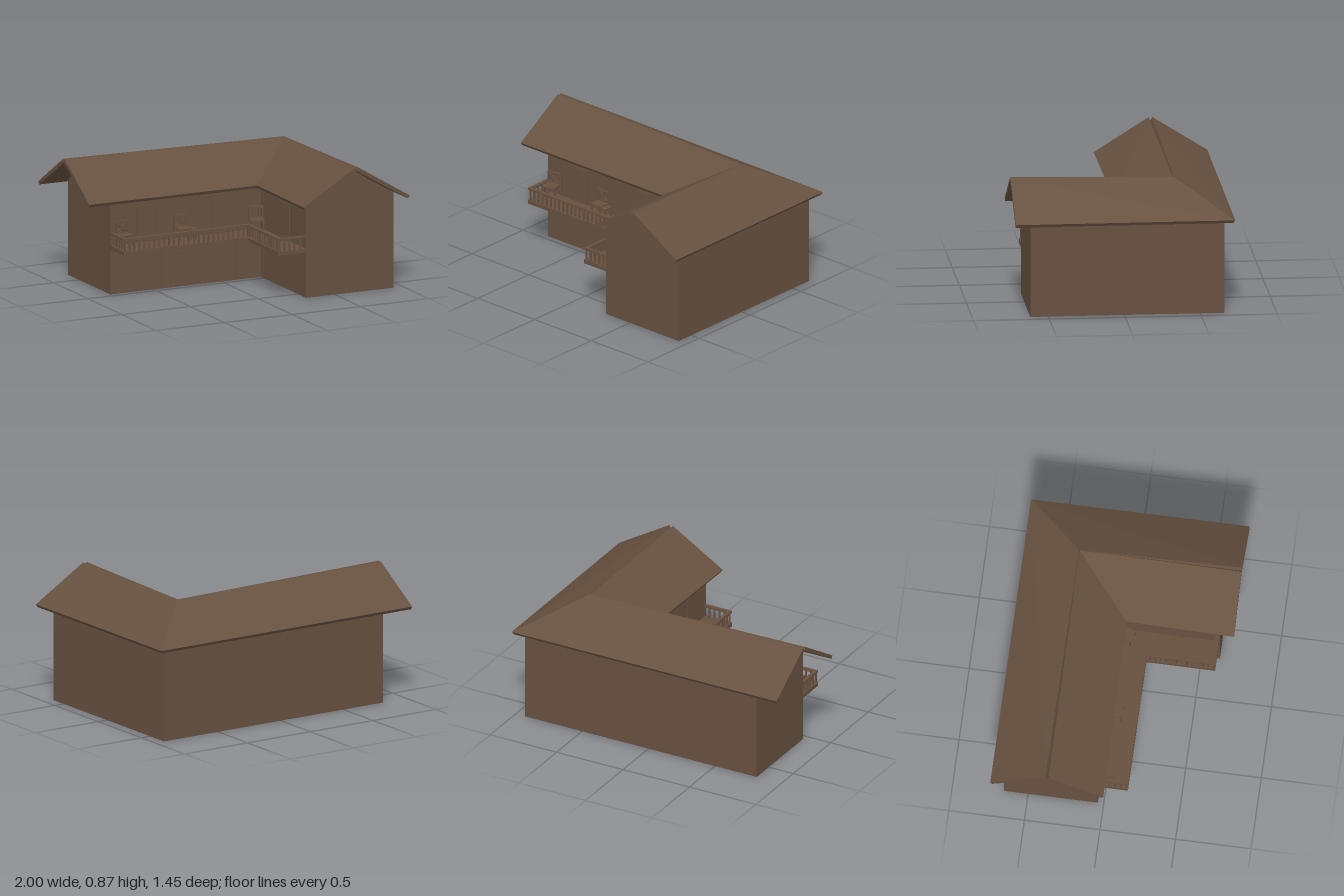
import * as THREE from 'three';

const timber = new THREE.MeshStandardMaterial({ color: 0x675140 });
timber.name = 'brown timber';

const V = (x, y, z) => new THREE.Vector3(x, y, z);

function add(parent, name, geometry) {
  const mesh = new THREE.Mesh(geometry, timber);
  mesh.name = name;
  parent.add(mesh);
  return mesh;
}

// Box given by its minimum and maximum corners
function box(parent, name, x0, x1, y0, y1, z0, z1) {
  const mesh = add(parent, name, new THREE.BoxGeometry(x1 - x0, y1 - y0, z1 - z0));
  mesh.position.set((x0 + x1) / 2, (y0 + y1) / 2, (z0 + z1) / 2);
  return mesh;
}

// Square bar between two points
function bar(parent, name, a, b, thick) {
  const mesh = add(parent, name, new THREE.BoxGeometry(thick, thick, a.distanceTo(b)));
  mesh.position.copy(a).lerp(b, 0.5);
  mesh.lookAt(b);
  return mesh;
}

// Solid between two matching cross-sections, outward faces chosen automatically
function loft(a, b) {
  const n = a.length, tris = [];
  for (let i = 0; i < n; i++) {
    const j = (i + 1) % n;
    tris.push([a[i], b[i], b[j]], [a[i], b[j], a[j]]);
    if (i > 0 && i < n - 1) tris.push([a[0], a[i], a[i + 1]], [b[0], b[i + 1], b[i]]);
  }
  let volume = 0;
  for (const [p, q, r] of tris) volume += p.clone().sub(a[0]).dot(q.clone().sub(a[0]).cross(r.clone().sub(a[0])));
  const points = tris.flatMap(t => (volume < 0 ? [t[0], t[2], t[1]] : t));
  const g = new THREE.BufferGeometry().setFromPoints(points);
  g.computeVertexNormals();
  return g;
}

// Flat outline in x and z raised between two heights
function raised(outline, y0, y1) {
  const shape = new THREE.Shape(outline.map(([x, z]) => new THREE.Vector2(x, -z)));
  const g = new THREE.ExtrudeGeometry(shape, { depth: y1 - y0, bevelEnabled: false });
  return g.rotateX(-Math.PI / 2).translate(0, y0, 0);
}

const RX = 0.61, RZ = -0.352;                 // ridge lines of the two wings
const WALL = -0.04, SIDE = 0.29;              // courtyard wall faces

function buildWalls(house) {
  add(house, 'walls', raised([[-0.815, -0.66], [-0.815, WALL], [SIDE, WALL], [SIDE, 0.62], [0.93, 0.62], [0.93, -0.66]], 0, 0.645));
  const wing = z => [V(SIDE, 0.644, z), V(0.93, 0.644, z), V(RX, 0.838, z)];
  const main = x => [V(x, 0.644, -0.66), V(x, 0.644, WALL), V(x, 0.838, RZ)];
  add(house, 'wingGable', loft(wing(RZ), wing(0.62)));
  add(house, 'mainGable', loft(main(-0.815), main(RX)));
}

// Four mitred slabs, their square-cut tops leaving a groove along each ridge
function buildRoof(house) {
  const roof = new THREE.Group();
  roof.name = 'roof';
  house.add(roof);
  for (const side of [1, -1]) {
    const outer = side > 0;
    // [offset from ridge, height]: ridge bottom, ridge top, eave top, eave bottom
    const gable = [[0, 0.842], [0.013, 0.865], [0.387, 0.637], [0.374, 0.617]];
    const mitre = [[0, 0.824], [0.002, 0.847], [outer ? 0.385 : 0.375, outer ? 0.637 : 0.632], [outer ? 0.372 : 0.364, outer ? 0.617 : 0.612]];
    const k = 0.967;                          // main wing is slightly narrower
    const corner = mitre.map(([u, y]) => V(RX + side * u, y, RZ - side * u * k));
    add(roof, outer ? 'wingOuterSlope' : 'wingInnerSlope', loft(gable.map(([u, y]) => V(RX + side * u * 1.005, y, 0.722)), corner));
    add(roof, outer ? 'mainBackSlope' : 'mainFrontSlope', loft(gable.map(([u, y]) => V(-1, y, RZ - side * u * k)), corner));
  }
}

// Thin framed door; local z is the outward direction
function door(parent, x, y, z, turn, h) {
  const g = new THREE.Group();
  g.name = 'door';
  box(g, 'doorPanel', -0.068, 0.068, 0.012, h - 0.012, 0, 0.003);
  for (const s of [-1, 1]) box(g, 'doorJamb', s * 0.075 - 0.007, s * 0.075 + 0.007, 0, h, 0, 0.006);
  box(g, 'doorHead', -0.068, 0.068, h - 0.012, h, 0, 0.006);
  box(g, 'doorSill', -0.068, 0.068, 0, 0.012, 0, 0.006);
  g.position.set(x, y, z);
  g.rotation.y = turn;
  parent.add(g);
}

function buildBalcony(house) {
  const g = new THREE.Group();
  g.name = 'balcony';
  house.add(g);
  add(g, 'balconyFloor', raised([[-0.815, WALL], [-0.815, 0.16], [0.09, 0.16], [0.09, 0.615], [SIDE, 0.615], [SIDE, WALL]], 0.303, 0.33));
  // Handrail and balusters follow the open edge
  const path = [[-0.803, WALL], [-0.803, 0.148], [0.102, 0.148], [0.102, 0.603], [SIDE, 0.603]];
  for (let i = 0; i < path.length - 1; i++) {
    const [x0, z0] = path[i], [x1, z1] = path[i + 1];
    const w = 0.012;
    box(g, 'handrail', Math.min(x0, x1) - w, Math.min(Math.max(x0, x1) + w, SIDE), 0.402, 0.416,
      Math.max(Math.min(z0, z1) - w, WALL), Math.max(z0, z1) + w);
    const n = Math.round(Math.hypot(x1 - x0, z1 - z0) / 0.036);
    for (let j = i ? 0 : 1; j < n; j++) {
      const x = x0 + (x1 - x0) * j / n, z = z0 + (z1 - z0) * j / n;
      box(g, 'baluster', x - 0.005, x + 0.005, 0.33, 0.403, z - 0.005, z + 0.005);
    }
  }
}

// Chair with a crossed back, standing against the wall
function chair(parent, x, z, turn) {
  const g = new THREE.Group();
  g.name = 'chair';
  box(g, 'seat', -0.045, 0.045, 0.07, 0.08, -0.035, 0.045);
  for (const s of [-1, 1]) {
    box(g, 'backLeg', s * 0.045 - 0.005, s * 0.045 + 0.005, 0, 0.16, -0.04, -0.03);
    box(g, 'frontLeg', s * 0.04 - 0.005, s * 0.04 + 0.005, 0, 0.07, 0.033, 0.043);
    bar(g, 'backCross', V(-0.045, 0.08 + (s + 1) * 0.036, -0.035), V(0.045, 0.152 - (s + 1) * 0.036, -0.035), 0.008);
  }
  box(g, 'backTop', -0.05, 0.05, 0.15, 0.16, -0.041, -0.029);
  box(g, 'backBottom', -0.045, 0.045, 0.08, 0.09, -0.04, -0.03);
  box(g, 'backSlat', -0.005, 0.005, 0.09, 0.15, -0.039, -0.031);
  g.position.set(x, 0.33, z);
  g.rotation.y = turn;
  parent.add(g);
}

function stool(parent, x, z) {
  const g = new THREE.Group();
  g.name = 'stool';
  box(g, 'stoolTop', -0.035, 0.035, 0.062, 0.072, -0.035, 0.035);
  for (const sx of [-1, 1]) for (const sz of [-1, 1])
    box(g, 'stoolLeg', sx * 0.028 - 0.005, sx * 0.028 + 0.005, 0, 0.062, sz * 0.028 - 0.005, sz * 0.028 + 0.005);
  g.position.set(x, 0.33, z);
  parent.add(g);
}

export function createModel() {
  const house = new THREE.Group();
  house.name = 'house';
  buildWalls(house);
  buildRoof(house);
  for (const x of [-0.36, 0.19]) door(house, x, 0.012, WALL, 0, 0.23);
  for (const x of [-0.545, 0.01]) door(house, x, 0.33, WALL, 0, 0.245);
  door(house, SIDE, 0.33, 0.3, -Math.PI / 2, 0.245);
  buildBalcony(house);
  chair(house, -0.735, 0.012, 0.25);
  chair(house, -0.31, 0.012, 0);
  stool(house, -0.26, 0.02);
  chair(house, 0.23, 0.015, -0.3);
  return house;
}
